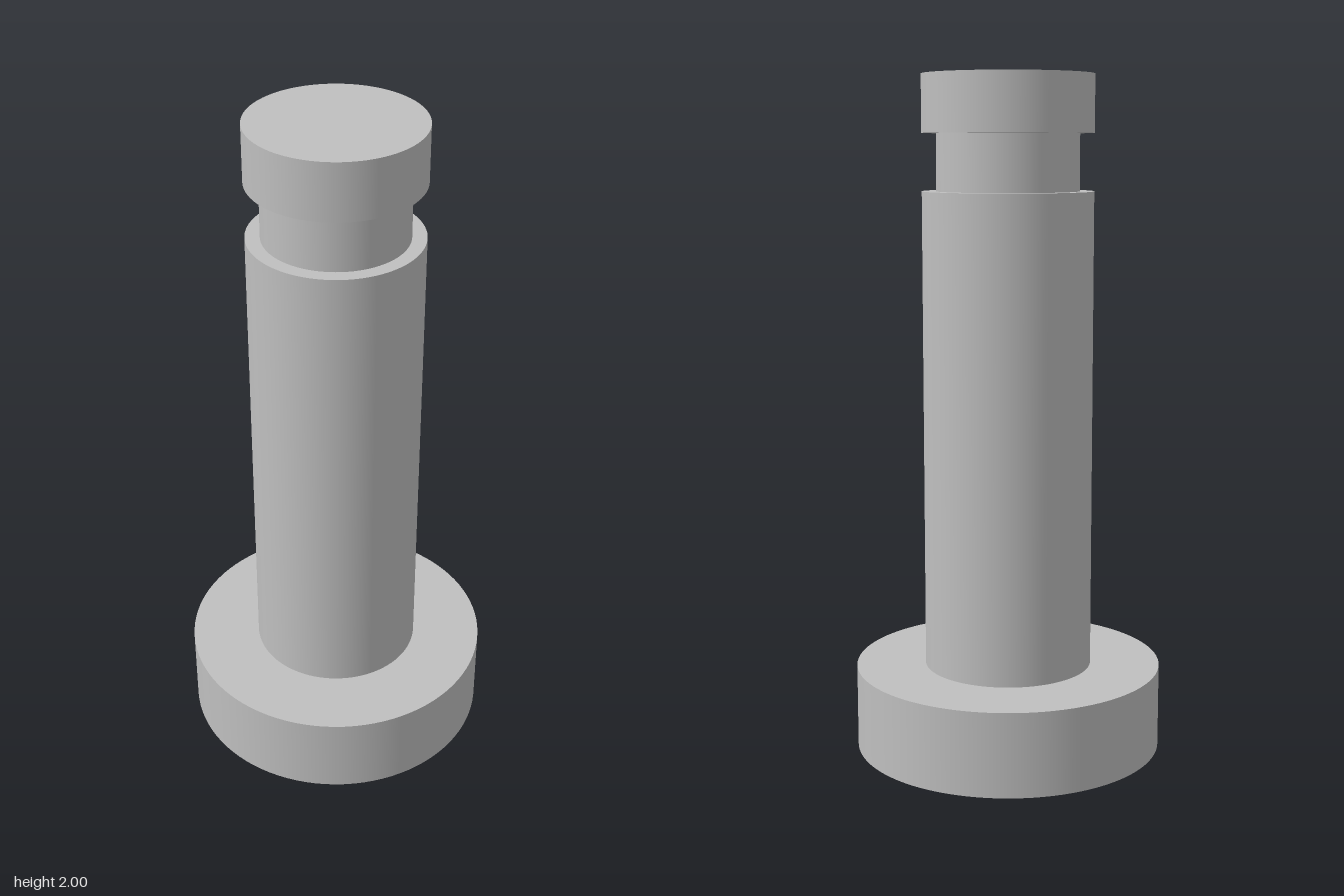
import * as THREE from 'three';

const SEGMENTS = 96;

export function createModel() {
  const model = new THREE.Group();
  model.name = 'groovedPin';

  const steel = new THREE.MeshStandardMaterial({ color: 0xbfbfbf });
  steel.name = 'grey steel';

  const add = (group, name, geometry) => {
    const mesh = new THREE.Mesh(geometry, steel);
    mesh.name = name;
    group.add(mesh);
  };

  // Flat annulus (or disc when inner is 0) facing up or down
  const face = (inner, outer, y, up) => {
    const g = inner > 0
      ? new THREE.RingGeometry(inner, outer, SEGMENTS)
      : new THREE.CircleGeometry(outer, SEGMENTS);
    return g.rotateX(up ? -Math.PI / 2 : Math.PI / 2).translate(0, y, 0);
  };

  // Stacked turned sections, from the floor up
  const sections = [
    { name: 'baseFlange', radius: 0.458, bottom: 0, top: 0.25 },
    { name: 'shaft', radius: 0.25, bottom: 0.25, top: 1.667 },
    { name: 'grooveNeck', radius: 0.208, bottom: 1.667, top: 1.833 },
    { name: 'head', radius: 0.25, bottom: 1.833, top: 2 },
  ];

  sections.forEach(({ name, radius, bottom, top }, i) => {
    const part = new THREE.Group();
    part.name = name;
    model.add(part);

    const wall = new THREE.CylinderGeometry(radius, radius, top - bottom, SEGMENTS, 1, true);
    add(part, name + 'Wall', wall.translate(0, (top + bottom) / 2, 0));

    // Only the exposed part of each end is closed, so the solid has no inner faces
    const below = sections[i - 1]?.radius ?? 0;
    const above = sections[i + 1]?.radius ?? 0;
    if (below < radius) add(part, name + 'Underside', face(below, radius, bottom, false));
    if (above < radius) add(part, name + 'TopFace', face(above, radius, top, true));
  });

  return model;
}
